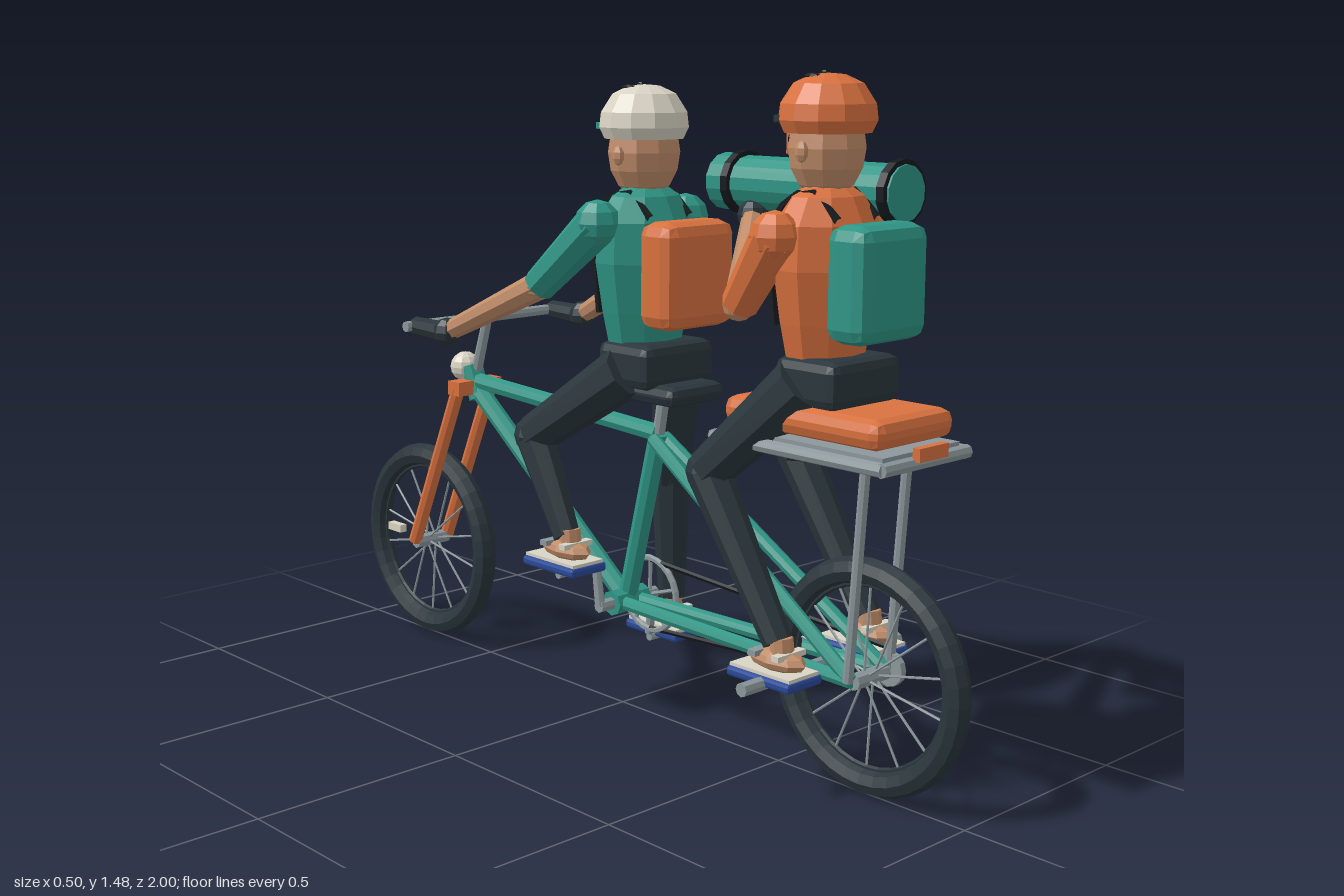
import * as THREE from 'three';
import { RoundedBoxGeometry } from 'three/addons/geometries/RoundedBoxGeometry.js';

const material = (name, color) => {
  const m = new THREE.MeshStandardMaterial({ color });
  m.name = name;
  return m;
};
const V = (p) => new THREE.Vector3(...p);

export function createModel() {
  const teal = material('teal', 0x2f9686), orange = material('orange', 0xd9713f);
  const dark = material('charcoal', 0x2a363c), black = material('black', 0x15191c);
  const grey = material('metal grey', 0x8c989c), skin = material('skin', 0xc08c69);
  const cream = material('cream', 0xd9d4c4), blue = material('sole blue', 0x2a4a9a);
  const brown = material('nose brown', 0x9a6444);

  const model = new THREE.Group();
  model.name = 'tandemBicycle';
  const group = (name, parent = model) => {
    const g = new THREE.Group();
    g.name = name;
    parent.add(g);
    return g;
  };
  // Faceted mesh: unshared corners give flat normals
  const add = (parent, name, geo, mat, pos = [0, 0, 0]) => {
    const g = geo.index ? geo.toNonIndexed() : geo;
    g.computeVertexNormals();
    const m = new THREE.Mesh(g, mat);
    m.name = name;
    m.position.set(...pos);
    parent.add(m);
    return m;
  };
  const rod = (parent, name, a, b, r1, r2, mat, seg = 8) => {
    const d = V(b).sub(V(a));
    const m = add(parent, name, new THREE.CylinderGeometry(r2, r1, d.length(), seg), mat);
    m.position.copy(V(a)).addScaledVector(d, 0.5);
    m.quaternion.setFromUnitVectors(new THREE.Vector3(0, 1, 0), d.normalize());
    return m;
  };
  const ball = (parent, name, pos, size, mat, w = 8, h = 6) => {
    const m = add(parent, name, new THREE.SphereGeometry(1, w, h), mat, pos);
    m.scale.set(...size);
    return m;
  };
  const box = (parent, name, size, pos, mat) => add(parent, name, new THREE.BoxGeometry(...size), mat, pos);
  const pad = (parent, name, size, pos, mat, r) => add(parent, name, new RoundedBoxGeometry(...size, 1, r), mat, pos);

  // Wheels
  const wheel = (name, z) => {
    const g = group(name);
    g.position.set(0, 0.254, z);
    add(g, 'tyre', new THREE.TorusGeometry(0.225, 0.029, 8, 36), dark).rotation.y = Math.PI / 2;
    add(g, 'rim', new THREE.TorusGeometry(0.197, 0.007, 6, 36), dark).rotation.y = Math.PI / 2;
    rod(g, 'hub', [-0.05, 0, 0], [0.05, 0, 0], 0.018, 0.018, grey);
    for (let i = 0; i < 14; i++) {
      const a = (i / 14) * Math.PI * 2;
      rod(g, 'spoke', [i % 2 ? 0.015 : -0.015, 0, 0], [0, 0.2 * Math.cos(a), 0.2 * Math.sin(a)], 0.003, 0.003, grey, 5);
    }
    return g;
  };
  wheel('rearWheel', 0.746);
  box(wheel('frontWheel', -0.746), 'spokeReflector', [0.02, 0.02, 0.055], [0, 0.002, -0.152], cream);

  // Frame
  const frame = group('frame');
  const seatTop = [0, 0.67, 0.12], crank = [0, 0.257, 0.015], headLow = [0, 0.69, -0.545];
  rod(frame, 'seatTube', crank, seatTop, 0.022, 0.022, teal);
  rod(frame, 'seatPost', seatTop, [0, 0.78, 0.14], 0.014, 0.014, grey);
  rod(frame, 'topTube', seatTop, [0, 0.705, -0.545], 0.021, 0.021, teal);
  rod(frame, 'downTube', crank, headLow, 0.023, 0.023, teal);
  rod(frame, 'bottomBracket', [-0.05, 0.257, 0.015], [0.05, 0.257, 0.015], 0.03, 0.03, teal);
  rod(frame, 'headTube', [0, 0.66, -0.53], [0, 0.74, -0.56], 0.027, 0.027, teal);
  for (const s of [-1, 1]) {
    const drop = [0.055 * s, 0.257, 0.746];
    rod(frame, 'chainStay', [0.025 * s, 0.257, 0.02], drop, 0.016, 0.016, teal);
    rod(frame, 'seatStay', [0.018 * s, 0.66, 0.12], drop, 0.016, 0.016, teal);
    rod(frame, 'forkBlade', [0.052 * s, 0.69, -0.55], [0.052 * s, 0.257, -0.746], 0.017, 0.017, orange);
    rod(frame, 'rackStrut', [0.066 * s, 0.73, 0.78], [0.066 * s, 0.257, 0.746], 0.011, 0.011, grey);
    rod(frame, 'footPeg', [0.05 * s, 0.252, 0.62], [0.248 * s, 0.252, 0.62], 0.015, 0.015, grey);
  }
  rod(frame, 'pegBracket', [0.055, 0.255, 0.62], [-0.055, 0.255, 0.62], 0.012, 0.012, grey);
  box(frame, 'forkCrown', [0.135, 0.035, 0.045], [0, 0.69, -0.55], orange);

  // Steering
  rod(frame, 'stem', [0, 0.71, -0.548], [0, 0.87, -0.495], 0.014, 0.012, grey);
  rod(frame, 'handlebar', [-0.247, 0.87, -0.5], [0.247, 0.87, -0.5], 0.013, 0.013, grey);
  ball(frame, 'headlamp', [0, 0.735, -0.587], [0.038, 0.038, 0.038], cream, 10, 8);

  // Saddle, rear rack and cushion
  pad(frame, 'saddle', [0.17, 0.045, 0.25], [0, 0.775, 0.125], dark, 0.02);
  box(frame, 'rackPlate', [0.24, 0.018, 0.43], [0, 0.742, 0.65], grey);
  for (const s of [-1, 1]) {
    rod(frame, 'rackRail', [0.128 * s, 0.73, 0.42], [0.128 * s, 0.73, 0.875], 0.015, 0.015, grey);
    const z = 0.648 + 0.225 * s;
    rod(frame, 'rackCrossRail', [-0.135, 0.73, z], [0.135, 0.73, z], 0.015, 0.015, grey);
  }
  pad(frame, 'rearCushion', [0.245, 0.062, 0.42], [0, 0.788, 0.645], orange, 0.024);
  box(frame, 'rearReflector', [0.09, 0.028, 0.018], [0, 0.75, 0.887], orange);

  // Drivetrain
  const drive = group('drivetrain');
  add(drive, 'chainring', new THREE.TorusGeometry(0.088, 0.008, 6, 24), grey, [0.07, 0.257, 0.02]).rotation.y = Math.PI / 2;
  for (let i = 0; i < 5; i++) {
    const a = (i / 5) * Math.PI * 2;
    rod(drive, 'chainringArm', [0.07, 0.257, 0.02], [0.07, 0.257 + 0.088 * Math.cos(a), 0.02 + 0.088 * Math.sin(a)], 0.005, 0.005, grey, 5);
  }
  rod(drive, 'rearCog', [0.06, 0.257, 0.746], [0.075, 0.257, 0.746], 0.038, 0.038, grey, 12);
  rod(drive, 'crankAxle', [-0.09, 0.257, 0.015], [0.09, 0.257, 0.015], 0.015, 0.015, grey);
  for (const s of [-1, 1]) {
    rod(drive, 'chainRun', [0.07, 0.257 + 0.043 * s, 0.746], [0.07, 0.257 + 0.084 * s, 0.02], 0.006, 0.006, black, 5);
    const y = s > 0 ? 0.152 : 0.362;
    rod(drive, 'crankArm', [0.085 * s, 0.257, 0.015], [0.085 * s, y, 0], 0.012, 0.01, grey);
    rod(drive, 'pedalAxle', [0.085 * s, y - 0.01, 0], [0.2 * s, y - 0.01, 0], 0.01, 0.01, grey);
  }

  // Sandalled foot standing at sole height y
  const foot = (parent, x, y, z) => {
    const g = group('foot', parent);
    g.position.set(x, y, z);
    pad(g, 'sole', [0.105, 0.022, 0.175], [0, 0, -0.01], blue, 0.007);
    box(g, 'footbed', [0.09, 0.008, 0.165], [0, 0.014, -0.01], cream);
    ball(g, 'bareFoot', [0, 0.036, 0], [0.037, 0.024, 0.075], skin);
    box(g, 'toeStrap', [0.084, 0.012, 0.022], [0, 0.05, -0.035], grey);
    box(g, 'heelStrap', [0.084, 0.012, 0.02], [0, 0.052, 0.03], cream);
    rod(g, 'ankle', [0, 0.03, 0.015], [0, 0.085, 0.01], 0.026, 0.024, skin);
  };
  const leg = (parent, hip, knee, ankle) => {
    rod(parent, 'thigh', hip, knee, 0.062, 0.048, dark);
    ball(parent, 'knee', knee, [0.048, 0.048, 0.048], dark);
    rod(parent, 'shin', knee, ankle, 0.047, 0.032, dark);
  };
  const arm = (parent, shoulder, elbow, wrist, sleeve) => {
    ball(parent, 'shoulder', shoulder, [0.052, 0.052, 0.052], sleeve);
    rod(parent, 'sleeve', shoulder, elbow, 0.05, 0.039, sleeve);
    ball(parent, 'elbow', elbow, [0.034, 0.034, 0.034], skin);
    rod(parent, 'forearm', elbow, wrist, 0.033, 0.023, skin);
    ball(parent, 'glove', wrist, [0.034, 0.034, 0.034], dark);
  };

  // Torso, pack and head; base is the hip height
  const rider = (name, base, z, shirt, packMat, helmetMat, visorMat, strapMat) => {
    const g = group(name), at = (x, y, dz) => [x, base + y, z + dz];
    const profile = [[0, 0], [0.092, 0], [0.112, 0.09], [0.13, 0.2], [0.125, 0.29], [0.088, 0.345], [0.045, 0.37], [0, 0.37]];
    const torso = add(g, 'torso', new THREE.LatheGeometry(profile.map((p) => new THREE.Vector2(...p)), 10), shirt, at(0, 0, 0));
    torso.scale.z = 0.74;
    pad(g, 'hips', [0.215, 0.1, 0.165], at(0, -0.025, 0.035), dark, 0.022);
    pad(g, 'backpack', [0.21, 0.235, 0.105], at(0, 0.18, 0.132), packMat, 0.03);
    for (const s of [-1, 1]) {
      const path = [[0.06, 0.3, 0.08], [0.062, 0.355, 0], [0.062, 0.3, -0.086], [0.065, 0.19, -0.092], [0.07, 0.08, -0.075]];
      const curve = new THREE.CatmullRomCurve3(path.map(([x, y, dz]) => V(at(x * s, y, dz))));
      add(g, 'packStrap', new THREE.TubeGeometry(curve, 10, 0.009, 5), black);
    }
    box(g, 'chestStrap', [0.14, 0.014, 0.012], at(0, 0.225, -0.1), strapMat);
    rod(g, 'neck', at(0, 0.33, 0), at(0, 0.42, -0.005), 0.042, 0.04, skin);

    const head = group('head', g);
    head.position.set(...at(0, 0.44, -0.005));
    ball(head, 'face', [0, 0, 0], [0.083, 0.105, 0.078], skin, 10, 8);
    ball(head, 'nose', [0, -0.012, -0.084], [0.015, 0.016, 0.02], brown, 6, 5);
    box(head, 'mouth', [0.035, 0.007, 0.008], [0, -0.05, -0.067], brown);
    for (const s of [-1, 1]) {
      ball(head, 'eye', [0.03 * s, 0.016, -0.071], [0.009, 0.01, 0.006], black, 6, 5);
      ball(head, 'ear', [0.083 * s, -0.005, 0.005], [0.012, 0.022, 0.015], skin, 6, 5);
    }
    // Helmet with peak and vents
    const shell = [[0, 0.03], [0.09, 0.03], [0.102, 0.055], [0.098, 0.088], [0.072, 0.128], [0.035, 0.145], [0, 0.148]];
    add(head, 'helmet', new THREE.LatheGeometry(shell.map((p) => new THREE.Vector2(...p)), 12), helmetMat);
    const visor = add(head, 'visor', new THREE.CylinderGeometry(0.085, 0.085, 0.014, 10), visorMat, [0, 0.06, -0.05]);
    visor.scale.z = 0.75;
    visor.rotation.x = -0.1;
    for (const s of [-1, 0, 1]) {
      const vent = ball(head, 'vent', [0.036 * s, s ? 0.142 : 0.148, -0.012], [0.007, 0.006, s ? 0.022 : 0.01], black, 6, 5);
      vent.rotation.z = -0.45 * s;
    }
    return g;
  };

  // Front rider: pedalling, hands on the bar
  const front = rider('frontRider', 0.86, 0.075, teal, orange, cream, teal, orange);
  leg(front, [0.08, 0.82, 0.1], [0.14, 0.53, 0.015], [0.15, 0.235, 0.01]);
  leg(front, [-0.08, 0.82, 0.1], [-0.14, 0.645, -0.15], [-0.155, 0.43, -0.02]);
  foot(front, 0.15, 0.152, 0);
  foot(front, -0.155, 0.365, -0.02);
  for (const s of [-1, 1]) {
    arm(front, [0.135 * s, 1.15, 0.065], [0.165 * s, 1.0, -0.1], [0.213 * s, 0.868, -0.38], teal);
    rod(front, 'grip', [0.215 * s, 0.866, -0.37], [0.215 * s, 0.87, -0.5], 0.026, 0.022, dark);
  }

  // Rear rider: feet on pegs, both hands steadying the tube
  const rear = rider('rearRider', 0.89, 0.61, orange, teal, orange, dark, grey);
  for (const s of [-1, 1]) {
    leg(rear, [0.08 * s, 0.86, 0.62], [0.14 * s, 0.655, 0.415], [0.14 * s, 0.33, 0.62]);
    foot(rear, 0.14 * s, 0.257, 0.62);
  }
  arm(rear, [0.14, 1.16, 0.59], [0.19, 1.01, 0.46], [0.18, 1.135, 0.39], orange);
  arm(rear, [-0.135, 1.16, 0.59], [-0.12, 1.01, 0.48], [0.14, 1.165, 0.27], orange);

  // Shoulder-carried tube
  const tube = group('shoulderTube');
  tube.position.set(0.182, 1.232, 0);
  rod(tube, 'barrel', [0, 0, 0.15], [0, 0, 0.665], 0.06, 0.06, teal, 14);
  for (const z of [0.205, 0.65]) rod(tube, 'band', [0, 0, z - 0.01], [0, 0, z + 0.01], 0.071, 0.071, black, 14);
  rod(tube, 'muzzle', [0, 0, 0.145], [0, 0, 0.2], 0.064, 0.064, teal, 14);
  rod(tube, 'lens', [0, 0, 0.142], [0, 0, 0.147], 0.05, 0.05, black, 14);
  box(tube, 'shoulderRest', [0.08, 0.045, 0.11], [0, -0.078, 0.575], dark);
  box(tube, 'handle', [0.045, 0.06, 0.055], [0, -0.08, 0.39], dark);
  // Open square sight
  const sight = new THREE.Shape([[-1, -1], [1, -1], [1, 1], [-1, 1]].map(([x, y]) => new THREE.Vector2(x * 0.04, y * 0.039)));
  sight.holes.push(new THREE.Path([[-1, -1], [-1, 1], [1, 1], [1, -1]].map(([x, y]) => new THREE.Vector2(x * 0.03, y * 0.029))));
  add(tube, 'sight', new THREE.ExtrudeGeometry(sight, { depth: 0.042, bevelEnabled: false }), orange, [0, 0.11, 0.365]);
  rod(tube, 'sightPost', [0, 0.05, 0.386], [0, 0.075, 0.386], 0.012, 0.012, orange);

  return model;
}
